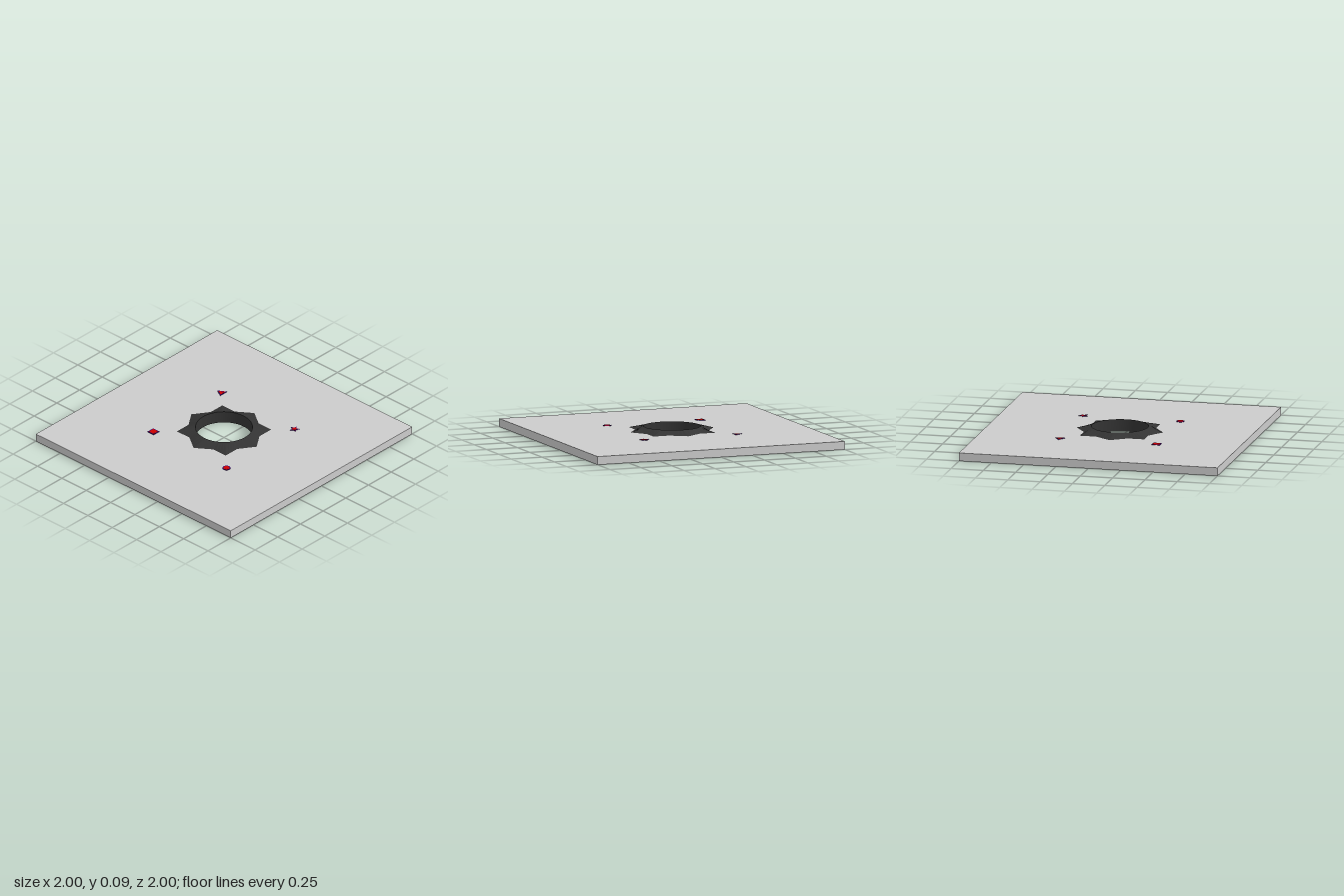
import * as THREE from 'three';
import { toCreasedNormals } from 'three/addons/utils/BufferGeometryUtils.js';

const TOP = 0.0625, RIM = 0.094, BORE = 0.214;
const paint = (color) => new THREE.MeshStandardMaterial({ color });

// Flat plate lying on y = base, extruded upwards from a shape (shape +y points to the back)
function slab(name, shape, base, depth, material) {
  const geo = new THREE.ExtrudeGeometry(shape, { depth, bevelEnabled: false, curveSegments: 32 });
  geo.rotateX(-Math.PI / 2);
  const mesh = new THREE.Mesh(toCreasedNormals(geo, 0.4), material);
  mesh.name = name;
  mesh.position.y = base;
  return mesh;
}

// Regular polygon, or a star when two alternating radii are given
function polygon(count, radii, start) {
  const pts = [];
  for (let i = 0; i < count; i++) {
    const a = start + (i / count) * Math.PI * 2, r = radii[i % radii.length];
    pts.push(new THREE.Vector2(r * Math.cos(a), r * Math.sin(a)));
  }
  return pts;
}

// Star outline at the base rising to a round rim, then down through the bore
function collarGeometry() {
  const eighth = [[0.335, 0], [0.25, 0.123], [0.25, 0.25], [0.123, 0.25]];
  const outline = [];
  for (let q = 0; q < 4; q++) {
    for (const [x, y] of eighth) {
      outline.push(new THREE.Vector2(x, y).rotateAround(new THREE.Vector2(), q * Math.PI / 2));
    }
  }
  const steps = 4, rings = [[], [], []];
  outline.forEach((p, i) => {
    const next = outline[(i + 1) % outline.length];
    for (let s = 0; s < steps; s++) {
      const o = p.clone().lerp(next, s / steps), c = o.clone().setLength(BORE);
      rings[0].push([o.x, TOP, -o.y]);
      rings[1].push([c.x, RIM, -c.y]);
      rings[2].push([c.x, 0, -c.y]);
    }
  });
  const n = rings[0].length, index = [];
  for (let r = 0; r < 2; r++) {
    for (let i = 0; i < n; i++) {
      const j = (i + 1) % n, a = r * n + i, b = r * n + j;
      index.push(a, b, b + n, a, b + n, a + n);
    }
  }
  const geo = new THREE.BufferGeometry();
  geo.setAttribute('position', new THREE.Float32BufferAttribute(rings.flat(2), 3));
  geo.setIndex(index);
  return toCreasedNormals(geo, 0.15);
}

export function createModel() {
  const model = new THREE.Group();

  // Square base with a round hole
  const square = new THREE.Shape(polygon(4, [Math.SQRT2], Math.PI / 4));
  square.holes.push(new THREE.Path().absarc(0, 0, BORE + 0.001, 0, Math.PI * 2, true));
  model.add(slab('base', square, 0, TOP, paint(0xcccccc)));

  // Eight-pointed collar around the hole
  const collar = new THREE.Mesh(collarGeometry(), paint(0x333333));
  collar.name = 'starCollar';
  model.add(collar);

  // Four thin markers, each a red face on a slightly larger purple border
  const up = Math.PI / 2, red = paint(0xcc0000), purple = paint(0x330066);
  const markers = [
    ['squareMarker', -1, -1, polygon(4, [0.045], Math.PI / 4), 0.76],
    ['triangleMarker', 1, -1, polygon(3, [0.043], up), 0.7],
    ['circleMarker', -1, 1, polygon(32, [0.031], 0), 0.75],
    ['starMarker', 1, 1, polygon(10, [0.038, 0.017], up), 0.7],
  ];
  for (const [name, sx, sz, pts, inset] of markers) {
    const marker = new THREE.Group();
    marker.name = name;
    marker.position.set(sx * 0.375, TOP, sz * 0.375);
    const inner = pts.map((p) => p.clone().multiplyScalar(inset));
    marker.add(slab(name + 'Border', new THREE.Shape(pts), 0, 0.003, purple));
    marker.add(slab(name + 'Face', new THREE.Shape(inner), 0, 0.004, red));
    model.add(marker);
  }
  return model;
}
